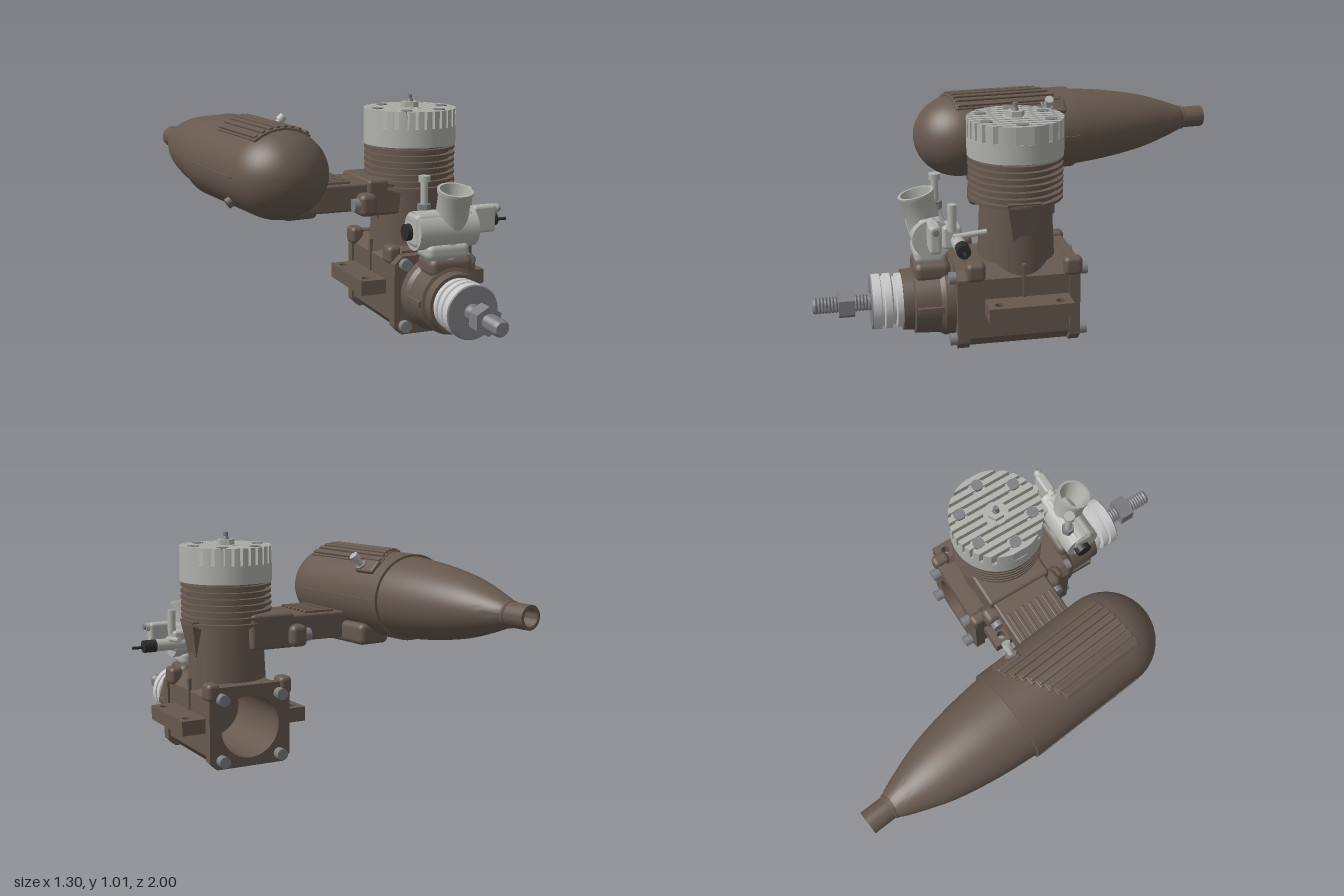
import * as THREE from 'three';
import { toCreasedNormals } from 'three/addons/utils/BufferGeometryUtils.js';
import { RoundedBoxGeometry } from 'three/addons/geometries/RoundedBoxGeometry.js';

const mat = (name, color) => Object.assign(new THREE.MeshStandardMaterial({ color }), { name });
const V = (x, y, z) => new THREE.Vector3(x, y, z);

export function createModel() {
  const root = new THREE.Group();
  root.name = 'modelEngine';
  const brown = mat('brown casting', 0x66584e);
  const alloy = mat('light alloy', 0xb0b0ab);
  const steel = mat('steel', 0x7e7e82);
  const bright = mat('bright collar', 0xc8c8c8);
  const black = mat('black plastic', 0x2c2b2b);

  const CX = 0.29, CY = 0.178, CZ = 0.125; // crank and cylinder axes

  const add = (name, geo, m, parent = root) => {
    const mesh = new THREE.Mesh(geo, m);
    mesh.name = name;
    parent.add(mesh);
    return mesh;
  };
  // Box given by its lower and upper limits
  const box = (name, a, b, m, r = 0.01, parent = root) => {
    const mesh = add(name, new RoundedBoxGeometry(b[0] - a[0], b[1] - a[1], b[2] - a[2], 2, r), m, parent);
    mesh.position.set((a[0] + b[0]) / 2, (a[1] + b[1]) / 2, (a[2] + b[2]) / 2);
    return mesh;
  };
  // Rod between two points
  const rod = (name, a, b, r, m, sides = 20, r2 = r, parent = root) => {
    const p = V(...a), q = V(...b), d = q.clone().sub(p);
    let geo = new THREE.CylinderGeometry(r2, r, d.length(), sides);
    if (sides < 9) geo = toCreasedNormals(geo, 0.4);
    const mesh = add(name, geo, m, parent);
    mesh.position.copy(p).add(q).multiplyScalar(0.5);
    mesh.quaternion.setFromUnitVectors(V(0, 1, 0), d.normalize());
    return mesh;
  };
  const lathe = (name, pts, m, parent = root, seg = 48, crease = 0.5) =>
    add(name, toCreasedNormals(new THREE.LatheGeometry(pts.map(p => new THREE.Vector2(...p)), seg), crease), m, parent);
  // Socket-head bolt along z
  const bolt = (x, y, z0, z1) => rod('bolt', [x, y, z0], [x, y, z1], 0.026, steel, 16);

  // ---- Crankcase, open at the back ----
  const caseSlice = (name, hw, top, z0, z1, c) => {
    const s = new THREE.Shape();
    s.moveTo(-hw + c, 0); s.lineTo(hw - c, 0); s.lineTo(hw, c); s.lineTo(hw, top - c);
    s.lineTo(hw - c, top); s.lineTo(-hw + c, top); s.lineTo(-hw, top - c); s.lineTo(-hw, c);
    s.closePath();
    const hole = new THREE.Path();
    hole.absarc(0, CY, 0.14, 0, Math.PI * 2, true);
    s.holes.push(hole);
    const geo = new THREE.ExtrudeGeometry(s, { depth: z1 - z0, bevelEnabled: false, curveSegments: 32 });
    add(name, toCreasedNormals(geo, 0.5), brown).position.set(CX, 0, z0);
  };
  caseSlice('crankcase', 0.185, 0.36, -0.08, 0.36, 0.05);
  caseSlice('backFlange', 0.195, 0.365, -0.115, -0.07, 0.035);
  caseSlice('frontFlange', 0.195, 0.35, 0.36, 0.41, 0.035);
  rod('crankcaseFrontWall', [CX, CY, 0.3], [CX, CY, 0.38], 0.145, brown, 40);
  rod('mainBearing', [CX, CY, 0.24], [CX, CY, 0.31], 0.07, brown, 32);
  for (const sx of [-1, 1]) {
    for (const y of [0.04, 0.315]) {
      bolt(CX + sx * 0.15, y, 0.4, 0.44);
      bolt(CX + sx * 0.14, y, -0.155, -0.11);
    }
    // Corner bosses
    for (const z of [0.33, -0.085])
      box('cornerBoss', [CX + sx * 0.175 - 0.03, 0.305, z - 0.04], [CX + sx * 0.175 + 0.03, 0.385, z + 0.04], brown, 0.02);
    // Mounting lug with two holes
    const s = new THREE.Shape();
    s.moveTo(0.17, -0.18); s.lineTo(0.302, -0.18); s.lineTo(0.302, 0.18); s.lineTo(0.17, 0.18); s.closePath();
    for (const z of [-0.13, 0.13]) {
      const h = new THREE.Path();
      h.absarc(0.26, z, 0.02, 0, Math.PI * 2, true);
      s.holes.push(h);
    }
    const lug = add('mountingLug', new THREE.ExtrudeGeometry(s, { depth: 0.065, bevelEnabled: false }), brown);
    lug.rotation.set(-Math.PI / 2, 0, sx < 0 ? Math.PI : 0);
    lug.position.set(CX, 0.158, 0.115);
    // Transfer passage, narrowing downwards
    const port = add('transferPassage', toCreasedNormals(new THREE.CylinderGeometry(0.1, 0.035, 0.27, 4, 1).rotateY(Math.PI / 4), 0.4), brown);
    port.position.set(CX + sx * 0.125, 0.495, CZ);
    box('sideRib', [CX + sx * 0.185 - 0.008, 0.22, CZ - 0.008], [CX + sx * 0.185 + 0.008, 0.37, CZ + 0.008], brown, 0.003);
  }

  // ---- Cylinder with cooling fins ----
  const column = add('cylinderColumn', new THREE.CylinderGeometry(0.152, 0.168, 0.35, 40), brown);
  column.position.set(CX, 0.47, CZ);
  column.scale.x = 1.08;
  rod('cylinderCore', [CX, 0.6, CZ], [CX, 0.81, CZ], 0.178, brown, 48);
  for (let i = 0; i < 7; i++) {
    const y = 0.617 + i * 0.028;
    rod('coolingFin', [CX, y - 0.006, CZ], [CX, y + 0.006, CZ], 0.203, brown, 56);
  }

  // ---- Slotted cylinder head ----
  const head = new THREE.Group();
  head.name = 'cylinderHead';
  head.position.set(CX, 0, CZ);
  root.add(head);
  const R = 0.206;
  rod('headBase', [0, 0.8, 0], [0, 0.882, 0], R, alloy, 56, R, head);
  for (let i = -5; i <= 5; i++) {
    const a = Math.max(-R, i * 0.038 - 0.0125), b = Math.min(R, i * 0.038 + 0.0125);
    const s = new THREE.Shape();
    const h = x => Math.sqrt(Math.max(0, R * R - x * x));
    for (let k = 0; k <= 4; k++) {
      const x = a + (b - a) * k / 4;
      k ? s.lineTo(x, -h(x)) : s.moveTo(x, -h(x));
    }
    for (let k = 4; k >= 0; k--) s.lineTo(a + (b - a) * k / 4, h(a + (b - a) * k / 4));
    const fin = add('headFin', new THREE.ExtrudeGeometry(s, { depth: 0.078, bevelEnabled: false }), alloy, head);
    fin.rotation.x = -Math.PI / 2;
    fin.position.y = 0.88;
  }
  for (let i = 0; i < 6; i++) {
    const t = i * Math.PI / 3, x = 0.157 * Math.cos(t), z = 0.157 * Math.sin(t);
    rod('headBoltSeat', [x, 0.87, z], [x, 0.945, z], 0.036, alloy, 20, 0.036, head);
    rod('headBolt', [x, 0.94, z], [x, 0.961, z], 0.026, steel, 16, 0.026, head);
  }
  rod('plugBoss', [0, 0.87, 0], [0, 0.959, 0], 0.055, alloy, 24, 0.055, head);
  rod('glowPlugHex', [0, 0.95, 0], [0, 0.983, 0], 0.04, alloy, 6, 0.04, head);
  rod('glowPlugPost', [0, 0.98, 0], [0, 1.0, 0], 0.017, steel, 16, 0.01, head);
  rod('glowPlugTip', [0, 0.995, 0], [0, 1.015, 0], 0.011, steel, 12, 0.011, head);

  // ---- Front housing, drive collar and shaft, turned about z ----
  const nose = new THREE.Group();
  nose.name = 'frontEnd';
  nose.position.set(CX, CY, 0);
  nose.rotation.x = Math.PI / 2;
  root.add(nose);
  lathe('frontHousing', [[0.165, 0.4], [0.165, 0.45], [0.152, 0.47], [0.147, 0.575], [0.132, 0.58], [0.13, 0.625], [0, 0.625]], brown, nose);
  lathe('driveCollar', [[0.1, 0.62], [0.115, 0.625], [0.115, 0.65], [0.1, 0.655], [0.1, 0.665], [0.118, 0.672], [0.118, 0.7],
    [0.106, 0.705], [0.106, 0.713], [0.118, 0.716], [0.118, 0.752]], bright, nose);
  lathe('driveFace', [[0.118, 0.751], [0.113, 0.757], [0.05, 0.757], [0.048, 0.75], [0, 0.75]], steel, nose);
  const thread = [[0.036, 0.74]];
  for (let z = 0.762; z < 0.985; z += 0.014) thread.push([0.037, z], [0.031, z + 0.007]);
  thread.push([0.036, 0.988], [0.028, 1.0], [0, 1.0]);
  lathe('propellerShaft', thread, steel, nose, 24);
  rod('propellerNut', [CX, CY, 0.825], [CX, CY, 0.892], 0.063, steel, 6);
  for (const sx of [-1, 1])
    box('housingWeb', [CX + sx * 0.145 - 0.014, CY - 0.014, 0.4], [CX + sx * 0.145 + 0.014, CY + 0.014, 0.57], brown, 0.004);

  // ---- Carburettor ----
  box('carburettorMount', [0.19, 0.28, 0.42], [0.39, 0.365, 0.575], brown, 0.03);
  box('carburettorFoot', [0.175, 0.355, 0.44], [0.375, 0.43, 0.572], alloy, 0.03);
  rod('carburettorNeck', [0.29, 0.34, 0.5], [0.29, 0.48, 0.5], 0.065, alloy, 28);
  rod('carburettorBody', [0.135, 0.48, 0.5], [0.41, 0.48, 0.5], 0.083, alloy, 36);
  box('carburettorBlock', [0.125, 0.41, 0.45], [0.4, 0.56, 0.555], alloy, 0.025);
  const intake = new THREE.Group();
  intake.name = 'intake';
  intake.position.set(0.305, 0.48, 0.51);
  intake.rotation.x = 0.24;
  root.add(intake);
  lathe('intakeTube', [[0, 0.05], [0.045, 0.06], [0.066, 0.18], [0.077, 0.18], [0.077, 0.165], [0.07, 0.15], [0.07, 0.02]].reverse(),
    alloy, intake, 36);
  rod('barrelScrew', [0.1, 0.475, 0.49], [0.14, 0.475, 0.49], 0.036, black, 18);
  rod('fuelInlet', [0.205, 0.5, 0.46], [0.205, 0.69, 0.46], 0.016, alloy, 16);
  rod('fuelInletHex', [0.205, 0.55, 0.46], [0.205, 0.585, 0.46], 0.03, steel, 6);
  rod('fuelInletTip', [0.205, 0.68, 0.46], [0.205, 0.706, 0.46], 0.025, alloy, 16);
  rod('throttleShaft', [0.39, 0.55, 0.5], [0.535, 0.55, 0.5], 0.02, alloy, 16);
  rod('throttleEnd', [0.52, 0.55, 0.5], [0.545, 0.55, 0.5], 0.014, steel, 12);
  box('throttleArm', [0.41, 0.45, 0.475], [0.52, 0.57, 0.525], alloy, 0.015);
  rod('needleHolder', [0.38, 0.478, 0.4], [0.53, 0.478, 0.4], 0.028, alloy, 18);
  box('needleBracket', [0.34, 0.44, 0.38], [0.44, 0.54, 0.46], alloy, 0.015);
  rod('needleKnob', [0.528, 0.478, 0.395], [0.588, 0.478, 0.395], 0.029, black, 14);
  rod('needlePin', [0.58, 0.475, 0.395], [0.64, 0.475, 0.395], 0.007, black, 8);
  rod('fuelNipple', [0.455, 0.5, 0.42], [0.455, 0.515, 0.28], 0.012, alloy, 12);
  rod('idleScrew', [0.435, 0.52, 0.42], [0.435, 0.635, 0.42], 0.019, alloy, 14);

  // ---- Exhaust stack and adapter ----
  box('exhaustStack', [0.04, 0.5, -0.06], [0.25, 0.66, 0.25], brown, 0.015);
  box('exhaustFlange', [-0.01, 0.505, -0.1], [0.07, 0.605, 0.29], brown, 0.025);
  for (const z of [-0.06, 0.25]) rod('exhaustBolt', [-0.035, 0.555, z], [0, 0.555, z], 0.03, steel, 16);
  box('exhaustAdapter', [-0.3, 0.523, -0.045], [0.06, 0.645, 0.23], brown, 0.012);
  for (let i = 0; i < 7; i++) {
    const z = -0.015 + i * 0.036;
    box('adapterRib', [-0.18, 0.635, z - 0.009], [-0.03, 0.657, z + 0.009], brown, 0.005);
  }

  // ---- Silencer, its long axis turned slightly from z ----
  const muffler = new THREE.Group();
  muffler.name = 'silencer';
  muffler.position.set(-0.411, 0.721, 0);
  muffler.rotation.y = 0.113;
  root.add(muffler);
  const RX = 0.214, RY = 0.194;
  const shell = (name, pts, sx) => {
    const m = lathe(name, pts, brown, muffler, 56, 0.45);
    m.rotation.x = Math.PI / 2;
    m.scale.x = sx;
  };
  const nosePts = [[0.18, -0.28], [RY, -0.278], [RY, 0.27]];
  for (let i = 1; i <= 10; i++) {
    const t = i / 10 * Math.PI / 2;
    nosePts.push([i === 10 ? 0 : RY * Math.cos(t), 0.27 + 0.212 * Math.sin(t)]);
  }
  shell('silencerFront', nosePts, RX / RY);
  const curve = new THREE.SplineCurve([[0.054, -0.885], [0.068, -0.855], [0.098, -0.77], [0.126, -0.68], [0.148, -0.58],
    [0.168, -0.45], [0.18, -0.33], [0.185, -0.26]].map(p => new THREE.Vector2(...p)));
  shell('silencerTail', curve.getPoints(24).map(p => [p.x, p.y]), 1.1);
  shell('tailPipe', [[0, -0.88], [0.036, -0.88], [0.038, -1.002], [0.052, -1.002], [0.052, -0.9], [0.058, -0.895], [0.058, -0.87]], 1);
  // Joint line along both sides
  for (const sx of [-1, 1]) box('sideSeam', [sx * RX - 0.003, -0.004, -0.27], [sx * RX + 0.003, 0.004, 0.27], brown, 0.001, muffler);
  // Cooling ribs on the top, with a slanted rear edge
  for (let i = 0; i < 8; i++) {
    const x = -0.115 + i * 0.033, f = i / 7;
    const t = Math.asin(x / RX), z0 = -0.06 - 0.14 * f, z1 = 0.32 - 0.02 * f;
    for (const [name, w, h] of [['ribPad', 0.04, 0.014], ['coolingRib', 0.02, 0.034]]) {
      const e = name === 'ribPad' ? 0.015 : 0;
      const rib = add(name, new RoundedBoxGeometry(w, h, z1 - z0 + e, 2, 0.005), brown, muffler);
      rib.position.set(x, RY * Math.cos(t) - 0.002, (z0 + z1) / 2);
      rib.rotation.z = -t * 0.9;
    }
  }
  // Pressure nipple, drain plug and lower bracket
  const pad = box('nippleBoss', [-0.035, -0.015, -0.06], [0.035, 0.012, 0.06], brown, 0.01, muffler);
  pad.position.set(0.155, 0.137, -0.155);
  pad.rotation.z = -0.8;
  rod('pressureNipple', [-0.275, 0.845, -0.14], [-0.225, 0.9, -0.14], 0.013, alloy, 14);
  rod('pressureNippleTip', [-0.235, 0.889, -0.14], [-0.215, 0.91, -0.14], 0.02, alloy, 14);
  rod('nippleHex', [-0.275, 0.845, -0.14], [-0.255, 0.867, -0.14], 0.028, steel, 6);
  rod('drainPlug', [-0.5, 0.64, 0.18], [-0.58, 0.59, 0.18], 0.024, brown, 12);
  box('lowerBracket', [0.04, -0.218, -0.17], [0.2, -0.12, 0.25], brown, 0.025, muffler);

  return root;
}
